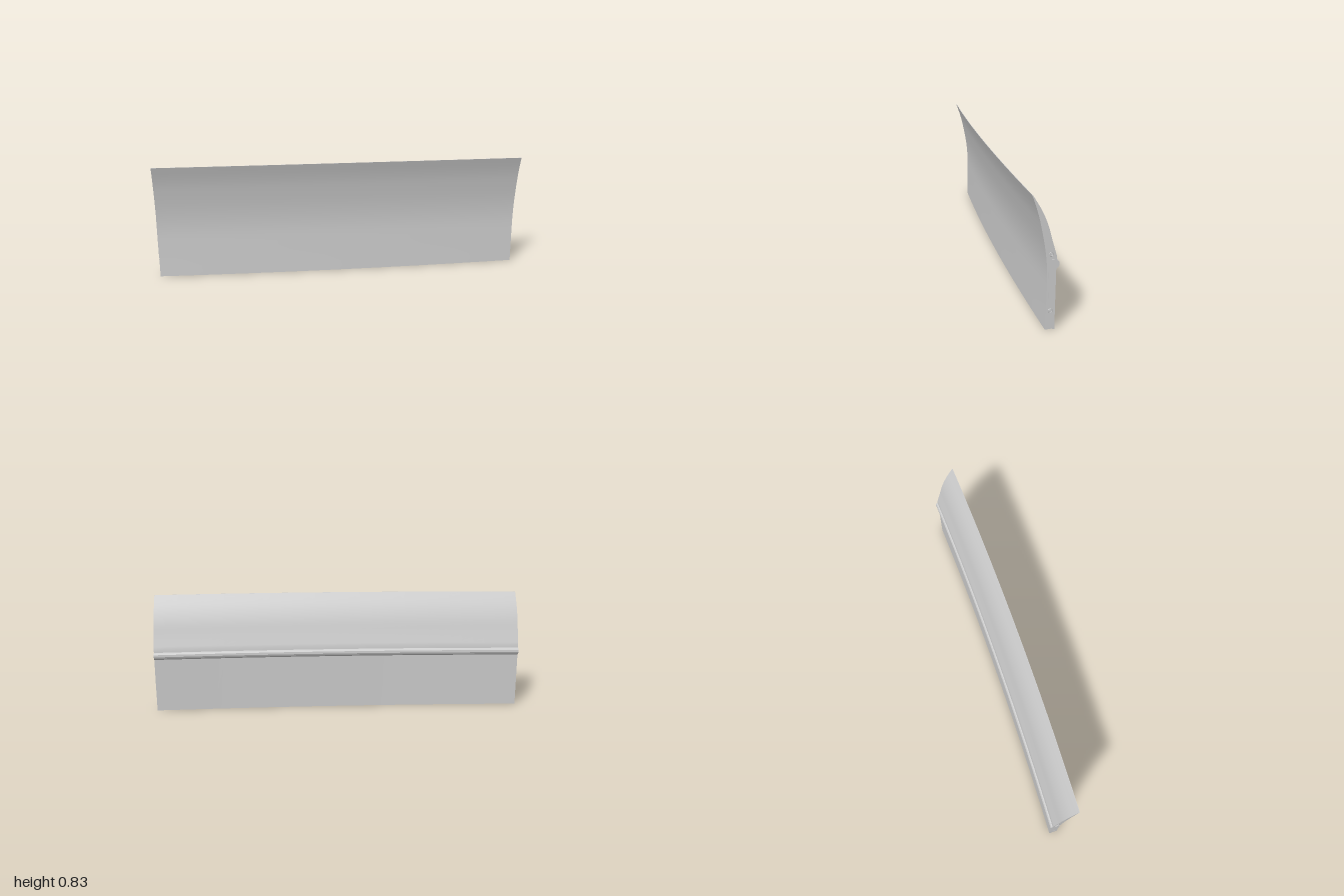
import * as THREE from 'three';
import { toCreasedNormals } from 'three/addons/utils/BufferGeometryUtils.js';

const HALF = 1.33;   // half length of the panel
const BULGE = 0.03;  // outward bow at mid length
const CROWN = 0.005; // rise of the top edge at mid length
const HEIGHT = 0.83;
const taper = (z) => 1 - (z / HALF) ** 2;

// Smooth curve through a few points
const curve = (pts, n) => new THREE.SplineCurve(pts.map(([x, y]) => new THREE.Vector2(x, y))).getPoints(n);

// Sweeps a closed cross-section along the length and bows it outward
function sweep(points) {
  const geo = new THREE.ExtrudeGeometry(new THREE.Shape(points), { depth: 2 * HALF, steps: 32, bevelEnabled: false });
  geo.translate(0, 0, -HALF);
  const p = geo.attributes.position;
  for (let i = 0; i < p.count; i++) {
    const k = taper(p.getZ(i));
    p.setX(i, p.getX(i) + BULGE * k);
    p.setY(i, p.getY(i) * (1 + CROWN * k / HEIGHT));
  }
  return toCreasedNormals(geo, 0.45);
}

export function createModel() {
  const metal = new THREE.MeshStandardMaterial({ color: 0xcccccc });
  metal.name = 'light grey metal';

  const model = new THREE.Group();
  model.name = 'curvedPanel';
  const panel = new THREE.Group();
  panel.name = 'panelAssembly';
  panel.rotation.y = -Math.PI / 4; // local x is the outer face, local z the length
  model.add(panel);

  const add = (parent, geometry, name, x, y, z) => {
    const mesh = new THREE.Mesh(geometry, metal);
    mesh.name = name;
    mesh.position.set(x, y, z);
    parent.add(mesh);
    return mesh;
  };

  // Main body: concave outer face, sharp top edge, beaded back, shallow foot groove
  const outer = curve([[-0.007, 0], [-0.012, 0.2], [-0.013, 0.36], [0, 0.5],
    [0.028, 0.65], [0.051, 0.74], [0.081, HEIGHT]], 28);
  const back = curve([[0.077, HEIGHT], [0.024, 0.74], [-0.014, 0.65], [-0.042, 0.55], [-0.068, 0.46]], 16);
  const bead = [[-0.07, 0.435], [-0.078, 0.431], [-0.084, 0.421], [-0.085, 0.405],
    [-0.079, 0.392], [-0.066, 0.382], [-0.064, 0]];
  const groove = [[-0.05, 0], [-0.05, 0.003], [-0.022, 0.003], [-0.022, 0]];
  const section = [...outer, ...back, ...[...bead, ...groove].map(([x, y]) => new THREE.Vector2(x, y))];
  add(panel, sweep(section), 'panelBody', 0, 0, 0);

  // Nearly flush connector bar and bolts on each end
  for (const side of [1, -1]) {
    const end = new THREE.Group();
    end.name = side > 0 ? 'rightEndConnector' : 'leftEndConnector';
    add(end, new THREE.BoxGeometry(0.032, 0.29, 0.006), 'connectorBar', -0.038, 0.295, side * HALF);
    for (const y of [0.12, 0.475]) {
      add(end, new THREE.TorusGeometry(0.011, 0.003, 8, 20), 'boltRing', -0.036, y, side * HALF);
      const core = add(end, new THREE.CylinderGeometry(0.006, 0.006, 0.004, 16), 'boltCore', -0.036, y, side * HALF);
      core.rotation.x = Math.PI / 2;
    }
    panel.add(end);
  }

  // Screws in the foot groove
  for (const z of [-1.27, 0, 1.27]) {
    add(panel, new THREE.CylinderGeometry(0.011, 0.011, 0.005, 16), 'footScrew',
      -0.036 + BULGE * taper(z), 0.0035, z);
  }
  return model;
}
